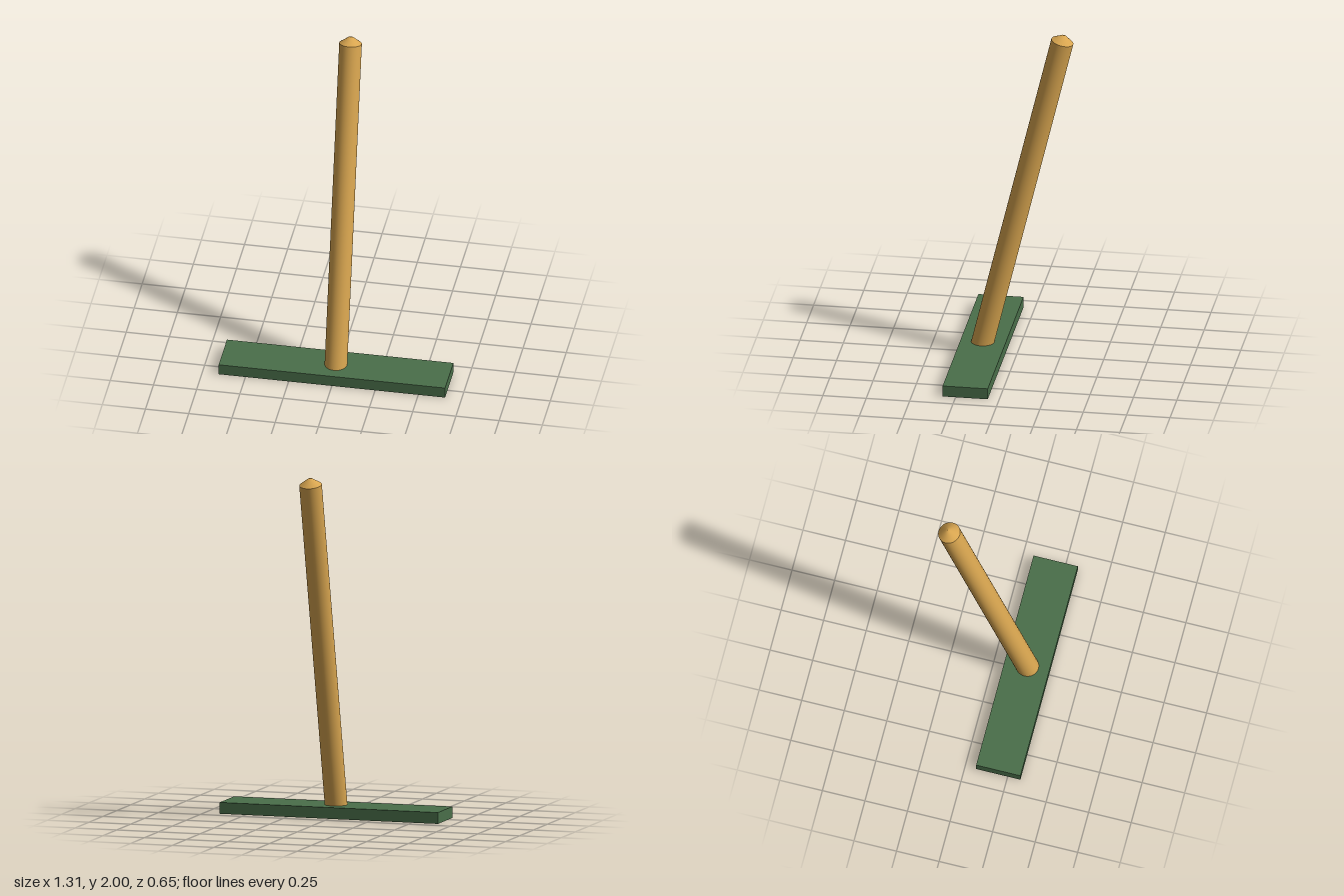
import * as THREE from 'three';

export function createModel() {
  const group = new THREE.Group();
  const mat = (color) => new THREE.MeshStandardMaterial({ color });
  const green = mat(0x4a6f4a);
  const grey = mat(0x555555);
  const wood = mat(0xd9a650);

  // flat head with a grey underside
  const head = new THREE.Mesh(
    new THREE.BoxGeometry(1.31, 0.065, 0.26),
    [green, green, green, grey, green, green]
  );
  head.name = 'head';
  head.position.set(0, 0.0325, 0.195);
  group.add(head);

  // leaning handle, sunk slightly into the head
  const handle = new THREE.Group();
  handle.name = 'handle';
  const radius = 0.0645, length = 1.983;

  const shaft = new THREE.Mesh(
    new THREE.CylinderGeometry(radius, radius, length, 32, 1, true), wood);
  shaft.name = 'shaft';
  shaft.position.y = -length / 2;

  // low bevelled tip
  const profile = [[radius, 0], [0.047, 0.012], [0.015, 0.035], [0, 0.038]]
    .map(([r, y]) => new THREE.Vector2(r, y));
  const tip = new THREE.Mesh(new THREE.LatheGeometry(profile, 32), wood);
  tip.name = 'tip';

  handle.add(shaft, tip);
  handle.position.set(0, 1.963, -0.262);
  handle.rotation.x = -0.237;
  group.add(handle);

  return group;
}
